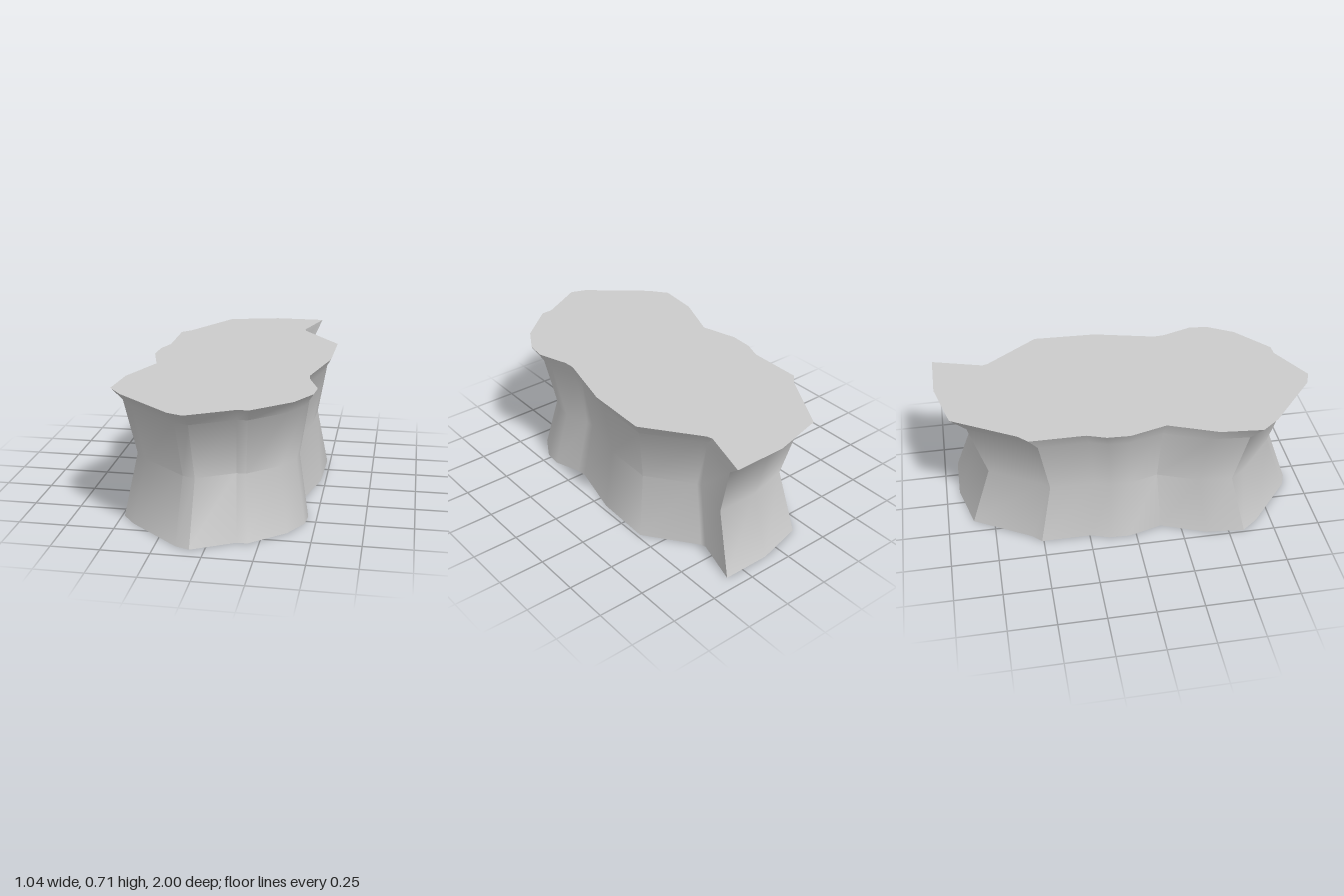
import * as THREE from 'three';
import { toCreasedNormals } from 'three/addons/utils/BufferGeometryUtils.js';

// Irregular plan outline [x, z] at the full-width rim
const OUTLINE = [
  [-0.18, -0.93], [0.10, -1.0], [0.38, -1.0], [0.30, -0.73], [0.31, -0.70],
  [0.52, -0.42], [0.51, -0.08], [0.43, 0.25], [0.435, 0.31], [0.49, 0.47],
  [0.48, 0.57], [0.40, 0.71], [0.21, 0.873], [0.15, 0.875], [-0.08, 1.0],
  [-0.16, 0.97], [-0.45, 0.725], [-0.525, 0.63], [-0.505, 0.41], [-0.405, 0.155],
  [-0.46, -0.04], [-0.455, -0.16], [-0.42, -0.26], [-0.42, -0.55], [-0.37, -0.60],
];

// Levels [height, outline scale]: foot, waist, neck, rim
const LEVELS = [[0, 0.927], [0.327, 0.813], [0.632, 0.912], [0.707, 1]];

// Waisted wall: one ring of the outline per level
function wallGeometry() {
  const n = OUTLINE.length;
  const positions = [];
  const index = [];
  for (const [y, s] of LEVELS) {
    for (const [x, z] of OUTLINE) positions.push(x * s, y, z * s);
  }
  for (let r = 0; r < LEVELS.length - 1; r++) {
    for (let i = 0; i < n; i++) {
      const a = r * n + i;
      const b = r * n + (i + 1) % n;
      index.push(a, a + n, b, b, a + n, b + n);
    }
  }
  const geometry = new THREE.BufferGeometry();
  geometry.setAttribute('position', new THREE.Float32BufferAttribute(positions, 3));
  geometry.setIndex(index);
  return toCreasedNormals(geometry, THREE.MathUtils.degToRad(39));
}

// Flat cap facing up (side = 1) or down (side = -1)
function capGeometry([y, s], side) {
  const points = OUTLINE.map(([x, z]) => new THREE.Vector2(x * s, -side * z * s));
  return new THREE.ShapeGeometry(new THREE.Shape(points))
    .rotateX(-side * Math.PI / 2)
    .translate(0, y, 0);
}

export function createModel() {
  const group = new THREE.Group();
  group.name = 'waistedSlab';
  const material = new THREE.MeshStandardMaterial({ color: 0xcccccc });
  const add = (name, geometry) => {
    const mesh = new THREE.Mesh(geometry, material);
    mesh.name = name;
    group.add(mesh);
  };
  add('wall', wallGeometry());
  add('topFace', capGeometry(LEVELS[LEVELS.length - 1], 1));
  add('bottomFace', capGeometry(LEVELS[0], -1));
  return group;
}
